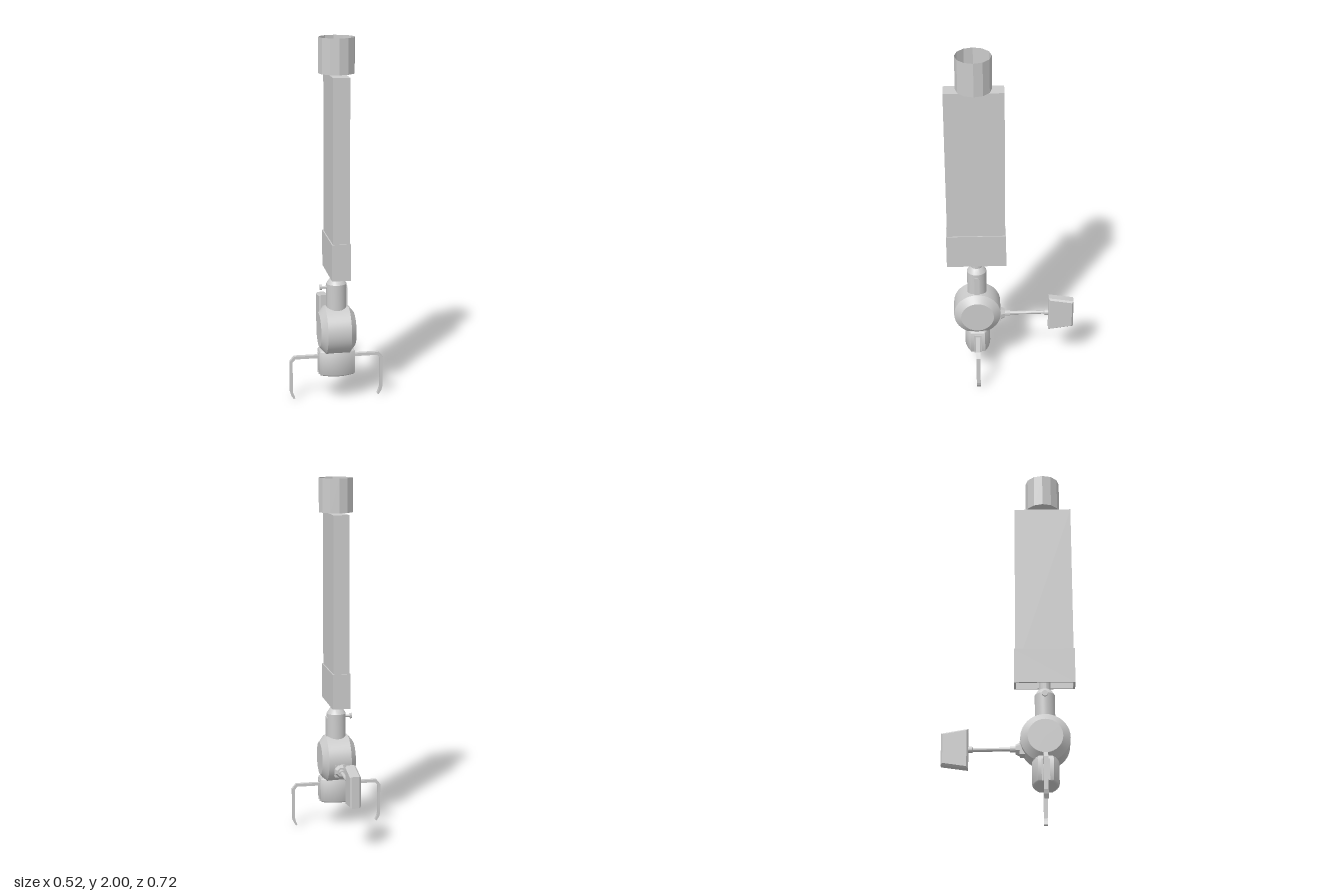
import * as THREE from 'three';
import { toCreasedNormals } from 'three/addons/utils/BufferGeometryUtils.js';

const AXIS_Z = 0.197; // the main column stands at this depth

export function createModel() {
  const model = new THREE.Group();
  const grey = new THREE.MeshStandardMaterial({ color: 0xcccccc });
  const flat = new THREE.MeshStandardMaterial({ color: 0xcccccc, flatShading: true, side: THREE.DoubleSide });

  const add = (name, geometry, x, y, z, material = grey) => {
    const mesh = new THREE.Mesh(geometry, material);
    mesh.name = name;
    mesh.position.set(x, y, z);
    model.add(mesh);
    return mesh;
  };
  const box = (name, w, h, d, x, y, z) => add(name, new THREE.BoxGeometry(w, h, d), x, y, z);
  const v2 = ([x, y]) => new THREE.Vector2(x, y);
  // Turned part: profile of [radius, height] from bottom to top
  const turned = (profile, sides = 32) =>
    toCreasedNormals(new THREE.LatheGeometry(profile.map(v2), sides), 0.45);
  const extruded = (shape, depth, options = {}) =>
    new THREE.ExtrudeGeometry(shape, { depth, bevelEnabled: false, ...options });

  // Open cup on top, with a floor
  add('topCup', new THREE.CylinderGeometry(0.097, 0.097, 0.19, 12, 1, true), 0, 1.905, AXIS_Z, flat);
  add('topCupFloor', new THREE.CircleGeometry(0.097, 12).rotateX(-Math.PI / 2), 0, 1.81, AXIS_Z, flat);

  // Long flat column and the hollow sleeve around its foot
  box('column', 0.09, 1.025, 0.322, 0, 1.2925, AXIS_Z);
  const rect = (Type, w, h) =>
    new Type([[-w, -h], [w, -h], [w, h], [-w, h]].map(v2));
  const sleeve = rect(THREE.Shape, 0.051, 0.167);
  sleeve.holes.push(rect(THREE.Path, 0.042, 0.156));
  add('columnSleeve', extruded(sleeve, 0.2).rotateX(-Math.PI / 2), 0, 0.72, AXIS_Z);

  // Neck with its shoulder, side rib and thumbscrew
  add('neck', turned([
    [0, 0.45], [0.055, 0.45], [0.055, 0.66], [0.038, 0.686], [0.032, 0.69], [0.032, 0.79], [0, 0.79],
  ]), 0, 0, AXIS_Z);
  const rib = new THREE.Shape();
  rib.moveTo(-0.015, 0.5);
  rib.lineTo(0.015, 0.5);
  rib.lineTo(0.015, 0.63);
  rib.absarc(0, 0.63, 0.015, 0, Math.PI, false);
  add('neckRib', extruded(rib, 0.02).rotateY(Math.PI / 2), 0.04, 0, AXIS_Z);
  add('thumbscrew', turned([
    [0, 0], [0.007, 0], [0.007, 0.035], [0.016, 0.035], [0.016, 0.046], [0, 0.046],
  ], 16), -0.045, 0.64, AXIS_Z).rotation.z = Math.PI / 2;

  // Chamfered drum lying across the model
  add('drum', turned([
    [0, -0.097], [0.094, -0.097], [0.134, -0.065], [0.134, 0.065], [0.094, 0.097], [0, 0.097],
  ], 40), 0, 0.395, AXIS_Z).rotation.z = -Math.PI / 2;

  // Lower block: flat sides, bowed front and back, rounded rims
  const plan = [];
  for (const s of [1, -1]) {
    for (let i = 0; i <= 12; i++) {
      const t = 1 - i / 6;
      plan.push(new THREE.Vector2(s * t * 0.099, s * (0.073 - 0.031 * t * t)));
    }
  }
  const blockGeometry = extruded(new THREE.Shape(plan), 0.111, {
    bevelEnabled: true, bevelThickness: 0.018, bevelSize: 0.018, bevelOffset: -0.018, bevelSegments: 4,
  });
  add('lowerBlock', toCreasedNormals(blockGeometry.rotateX(-Math.PI / 2), 0.6), 0, 0.158, AXIS_Z);

  // Pair of bent claws with mounting plates
  const clawOutline = [
    [0.09, 0.251], [0.237, 0.251], [0.26, 0.222], [0.26, 0.045], [0.254, 0.024], [0.24, 0.002],
    [0.231, 0.007], [0.241, 0.03], [0.245, 0.047], [0.245, 0.217], [0.23, 0.235], [0.09, 0.235],
  ];
  for (const side of [1, -1]) {
    const name = side > 0 ? 'left' : 'right';
    const claw = extruded(new THREE.Shape(clawOutline.map(v2)), 0.023).translate(0, 0, -0.0115);
    if (side < 0) claw.rotateY(Math.PI);
    add(name + 'Claw', claw, 0, 0, AXIS_Z);
    for (const e of [1, -1]) {
      box(name + 'ClawRail', 0.012, 0.12, 0.008, side * 0.096, 0.205, AXIS_Z + e * 0.018);
    }
    box(name + 'ClawRailTop', 0.012, 0.008, 0.044, side * 0.096, 0.261, AXIS_Z);
  }

  // Rear rod with tapered boss and collars, running towards the back
  const boss = new THREE.CylinderGeometry(0.026, 0.038, 0.025, 8);
  boss.rotateY(Math.PI / 8).rotateX(-Math.PI / 2);
  add('rodBoss', boss, 0, 0.352, 0.049, flat);
  box('rodBossBase', 0.066, 0.072, 0.04, 0, 0.352, 0.08);
  add('rearRod', turned([
    [0, -0.04], [0.016, -0.04], [0.016, -0.008], [0.0105, -0.008], [0.0105, 0.188],
    [0.0175, 0.194], [0.0175, 0.213], [0.012, 0.222], [0, 0.222],
  ], 20), 0, 0.352, 0).rotation.x = -Math.PI / 2;

  // Trapezoid paddle with bevelled rims; its outline runs along depth and height
  const paddle = new THREE.Shape(
    [[0.215, 0.241], [0.36, 0.262], [0.36, 0.439], [0.215, 0.464]].map(v2));
  const paddleGeometry = extruded(paddle, 0.04, {
    bevelEnabled: true, bevelThickness: 0.01, bevelSize: 0.009, bevelOffset: -0.009, bevelSegments: 1,
  });
  add('paddle', paddleGeometry.rotateY(Math.PI / 2), -0.02, 0, 0, flat);

  return model;
}
